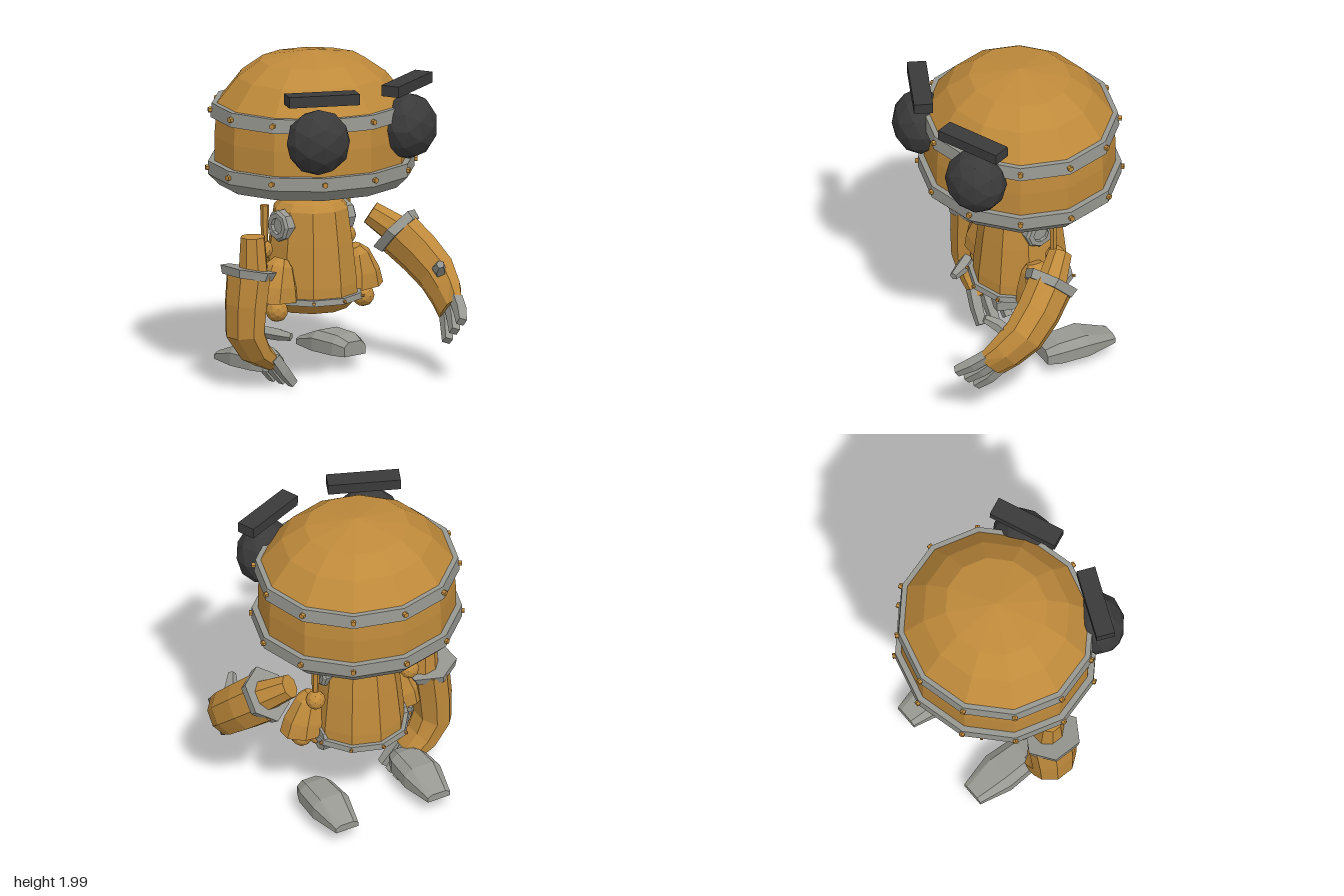
import * as THREE from 'three';

const mat = (name, color) => new THREE.MeshStandardMaterial({ name, color, flatShading: true });
const V = (x, y, z) => new THREE.Vector3(x, y, z);
const CX = -0.07, CZ = -0.055; // axis of head and body

// Sweep a section along points [x, y, z, narrowRadius, wideRadius]; wide is the section's second axis
function loft(path, wide, section) {
  const pts = path.map(p => V(p[0], p[1], p[2]));
  const n = section.length, last = path.length - 1, pos = [], idx = [];
  pts.forEach((p, i) => {
    const t = pts[Math.min(i + 1, last)].clone().sub(pts[Math.max(i - 1, 0)]).normalize();
    const w = wide.clone().addScaledVector(t, -wide.dot(t)).normalize();
    const u = w.clone().cross(t);
    for (const [a, b] of section) {
      const q = p.clone().addScaledVector(u, a * path[i][3]).addScaledVector(w, b * path[i][4]);
      pos.push(q.x, q.y, q.z);
    }
  });
  for (let i = 0; i < last; i++) for (let j = 0; j < n; j++) {
    const a = i * n + j, b = i * n + (j + 1) % n;
    idx.push(a, b, b + n, a, b + n, a + n);
  }
  for (let j = 1; j < n - 1; j++) {
    idx.push(0, j + 1, j);
    idx.push(last * n, last * n + j, last * n + j + 1);
  }
  const g = new THREE.BufferGeometry();
  g.setAttribute('position', new THREE.Float32BufferAttribute(pos, 3));
  g.setIndex(idx);
  g.computeVertexNormals();
  return g;
}

const ngon = n => Array.from({ length: n }, (_, i) => {
  const a = (i + 0.5) / n * Math.PI * 2;
  return [Math.cos(a), Math.sin(a)];
});
const lathe = (profile, sides) =>
  new THREE.LatheGeometry(profile.map(p => new THREE.Vector2(p[0], p[1])), sides);

export function createModel() {
  const model = new THREE.Group();
  model.name = 'robot';
  const brass = mat('brass', 0xbf8a3b);
  const steel = mat('steel', 0x989892);
  const dark = mat('dark', 0x3a3a3a);

  const add = (parent, name, geo, material, x = 0, y = 0, z = 0) => {
    const m = new THREE.Mesh(geo, material);
    m.name = name;
    m.position.set(x, y, z);
    parent.add(m);
    return m;
  };
  const group = (name, x = 0, y = 0, z = 0) => {
    const g = new THREE.Group();
    g.name = name;
    g.position.set(x, y, z);
    model.add(g);
    return g;
  };
  const ball = r => new THREE.IcosahedronGeometry(r, 1);
  const studs = (parent, name, count, rx, rz, y, size) => {
    for (let i = 0; i < count; i++) {
      const a = i / count * Math.PI * 2;
      const s = add(parent, name, new THREE.CylinderGeometry(size, size, size * 3, 6).rotateX(Math.PI / 2),
        brass, Math.sin(a) * rx, y, Math.cos(a) * rz);
      s.rotation.y = a;
    }
  };

  // Head: domed drum, two bands and rivets, slightly wider than deep
  const head = group('head', CX, 0, CZ);
  const oval = g => g.scale(1, 1, 0.94);
  add(head, 'headShell', oval(lathe([[0.594, 1.26], [0.594, 1.5], [0.578, 1.7], [0.455, 1.85], [0.317, 1.945], [0, 2]], 12)), brass);
  add(head, 'lowerBand', oval(lathe([[0, 1.2], [0.56, 1.2], [0.632, 1.27], [0.632, 1.35], [0.585, 1.35]], 12)), steel);
  add(head, 'upperBand', oval(lathe([[0.57, 1.615], [0.618, 1.615], [0.61, 1.7], [0.56, 1.7]], 12)), steel);
  studs(head, 'lowerRivet', 12, 0.622, 0.584, 1.31, 0.017);
  studs(head, 'upperRivet', 12, 0.606, 0.57, 1.66, 0.017);

  // Body: bell, hem band, neck
  const body = group('body', CX, 0, CZ - 0.005);
  add(body, 'bell', lathe([[0, 0.435], [0.215, 0.44], [0.285, 0.51], [0.283, 0.6], [0.255, 0.85],
    [0.226, 1.05], [0.19, 1.09], [0.11, 1.12], [0, 1.12]], 10), brass);
  add(body, 'hemBand', lathe([[0.25, 0.505], [0.315, 0.505], [0.31, 0.54], [0.25, 0.54]], 10), steel);
  studs(body, 'hemRivet', 10, 0.312, 0.312, 0.522, 0.01);
  add(body, 'neckBall', ball(0.088), brass, 0.005, 1.122, 0);
  add(body, 'neckPost', new THREE.CylinderGeometry(0.05, 0.05, 0.06, 8), brass, 0.005, 1.18, 0);

  const footSection = [[1, 0], [1, 0.65], [0.6, 1], [-0.6, 1], [-1, 0.65], [-1, 0]];
  for (const s of [1, -1]) {
    const side = s > 0 ? 'left' : 'right';

    // Eye and brow, turned outward
    const eye = add(head, side + 'Eye', ball(1), dark, s * 0.347, 1.57, 0.488);
    eye.scale.set(0.195, 0.198, 0.164);
    eye.rotation.y = s * 0.4;
    const brow = add(head, side + 'Brow', new THREE.BoxGeometry(0.434, 0.066, 0.114), dark, s * 0.325, 1.83, 0.495);
    brow.rotation.set(0, s * 0.405, s * 0.015);
    add(head, side + 'HeadSocket', ball(0.052), brass, s * 0.318, 1.215, -0.05);

    // Shoulder ring and hanging pin
    const ring = lathe([[0.05, -0.05], [0.095, -0.05], [0.095, 0.03], [0.08, 0.045], [0.05, 0.045], [0.05, -0.05]], 8);
    add(body, side + 'ShoulderRing', ring.rotateZ(-s * Math.PI / 2), steel, s * 0.228, 0.965, 0.01);
    add(body, side + 'ShoulderCore', new THREE.CylinderGeometry(0.06, 0.06, 0.14, 8).rotateZ(Math.PI / 2),
      steel, s * 0.18, 0.965, 0.01);
    add(body, side + 'Pin', new THREE.CylinderGeometry(0.027, 0.02, 0.24, 6), brass, s * 0.313, 0.97, -0.05);
    add(body, side + 'PinBall', ball(0.06), brass, s * 0.318, 0.82, -0.06);

    // Hip pad, ball joints and socket
    const pad = loft([[s * 0.315, 0.53, 0.06, 0.165, 0.12], [s * 0.31, 0.62, 0.06, 0.14, 0.115],
      [s * 0.29, 0.74, 0.06, 0.085, 0.085], [s * 0.275, 0.78, 0.06, 0.04, 0.05]], V(0, 0, 1), ngon(8));
    add(body, side + 'HipPad', pad, brass);
    add(body, side + 'HipBall', ball(0.068), brass, s * 0.33, 0.475, 0.085);
    add(body, side + 'InnerHipBall', ball(0.055), brass, s * 0.26, 0.49, 0.02);
    add(body, side + 'HipSocket', new THREE.CylinderGeometry(0.08, 0.08, 0.1, 8).rotateZ(Math.PI / 2),
      steel, s * 0.235, 0.515, -0.035);

    // Foot, low wedge tapering to the back
    const fx = CX + s * 0.312;
    add(model, side + 'Foot', loft([[fx, 0.1, -0.03, 0.08, 0.085], [fx, 0.1, -0.11, 0.11, 0.115],
      [fx, 0.1, -0.29, 0.12, 0.118], [fx, 0.1, -0.49, 0.075, 0.045]], V(0, 1, 0), footSection), steel);
  }

  // Arms: sleeve, cuff, gauntlet, three fingers spread along the wide axis, thumb
  const arm = (side, a) => {
    const g = group(side + 'Arm');
    add(g, 'upperArm', loft(a.upper, a.wide, ngon(8)), brass);
    add(g, 'cuff', loft(a.cuff, a.wide, ngon(6)), steel);
    add(g, 'forearm', loft(a.forearm, a.wide, ngon(8)), brass);
    for (const k of [1, 0, -1]) {
      const path = a.finger.map(([x, y, z, spread, r], i) => {
        const p = V(x, y, z).addScaledVector(a.wide, k * spread);
        return [p.x, p.y, p.z, r, r];
      });
      add(g, 'finger', loft(path, a.wide, ngon(4)), steel);
    }
    add(g, 'thumb', loft(a.thumb, V(0, 1, 0), ngon(5)), steel);
  };

  arm('right', {
    wide: V(0, 0, 1),
    upper: [[-0.54, 0.935, -0.03, 0.075, 0.075], [-0.535, 0.68, -0.03, 0.09, 0.1]],
    cuff: [[-0.57, 0.745, -0.03, 0.168, 0.18], [-0.58, 0.695, -0.03, 0.15, 0.165]],
    forearm: [[-0.565, 0.73, -0.035, 0.118, 0.16], [-0.588, 0.53, -0.035, 0.115, 0.152], [-0.595, 0.36, -0.035, 0.108, 0.142],
      [-0.52, 0.235, -0.035, 0.085, 0.128], [-0.415, 0.155, -0.035, 0.05, 0.115]],
    finger: [[-0.45, 0.2, -0.02, 0.075, 0.042], [-0.385, 0.11, -0.02, 0.085, 0.042], [-0.315, 0.028, -0.02, 0.09, 0.034]],
    thumb: [[-0.52, 0.37, 0.05, 0.04, 0.04], [-0.47, 0.36, 0.12, 0.042, 0.038], [-0.43, 0.35, 0.195, 0.025, 0.025]],
  });
  arm('left', {
    wide: V(0, 0.72, 0.69).normalize(),
    upper: [[0.395, 0.94, -0.07, 0.075, 0.075], [0.51, 0.83, 0.05, 0.09, 0.1]],
    cuff: [[0.488, 0.85, 0.035, 0.168, 0.175], [0.508, 0.812, 0.072, 0.15, 0.165]],
    forearm: [[0.497, 0.835, 0.04, 0.118, 0.16], [0.57, 0.71, 0.17, 0.115, 0.152], [0.607, 0.6, 0.29, 0.108, 0.142],
      [0.588, 0.505, 0.4, 0.085, 0.128], [0.555, 0.425, 0.485, 0.05, 0.115]],
    finger: [[0.565, 0.45, 0.47, 0.07, 0.042], [0.53, 0.385, 0.54, 0.085, 0.042], [0.48, 0.325, 0.61, 0.095, 0.034]],
    thumb: [[0.56, 0.63, 0.38, 0.04, 0.04], [0.515, 0.67, 0.42, 0.042, 0.038], [0.475, 0.71, 0.485, 0.025, 0.025]],
  });
  return model;
}
